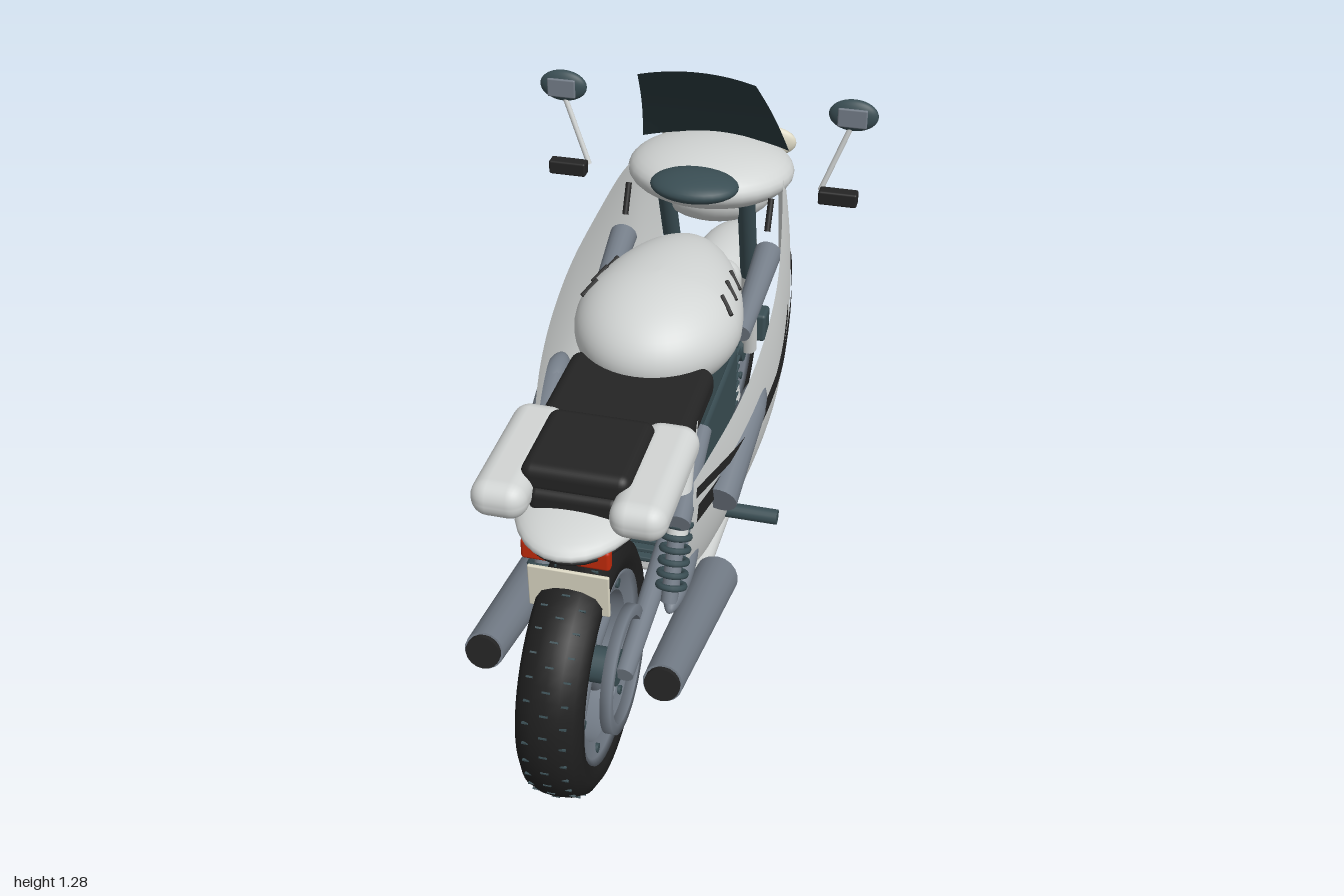
import * as THREE from 'three';
import { RoundedBoxGeometry } from 'three/addons/geometries/RoundedBoxGeometry.js';

const mat = (name, color, both) => {
  const m = new THREE.MeshStandardMaterial({ color });
  m.name = name;
  if (both) m.side = THREE.DoubleSide;
  return m;
};
const V = (p) => new THREE.Vector3(...p);

// smooth curve through [z, value] pairs, sorted by z
function curve(pts) {
  const slope = (i) => {
    const a = pts[Math.max(0, i - 1)], b = pts[Math.min(pts.length - 1, i + 1)];
    return (b[1] - a[1]) / (b[0] - a[0]);
  };
  return (z) => {
    let i = 0;
    while (i < pts.length - 2 && z > pts[i + 1][0]) i++;
    const h = pts[i + 1][0] - pts[i][0], t = (z - pts[i][0]) / h, u = 1 - t;
    return pts[i][1] * (1 + 2 * t) * u * u + slope(i) * h * t * u * u
      + pts[i + 1][1] * t * t * (3 - 2 * t) - slope(i + 1) * h * t * t * u;
  };
}

// surface from a function of u, v in 0..1
function sheet(fn, nu, nv) {
  const g = new THREE.PlaneGeometry(1, 1, nu, nv), p = g.attributes.position;
  for (let i = 0; i < p.count; i++) p.setXYZ(i, ...fn(p.getX(i) + 0.5, p.getY(i) + 0.5));
  g.computeVertexNormals();
  return g;
}

export function createModel() {
  const root = new THREE.Group();
  root.name = 'motorcycle';
  const white = mat('white paint', 0xd2d5d4, true), black = mat('black', 0x242424, true);
  const rubber = mat('tyre rubber', 0x1f1f1f), teal = mat('dark teal metal', 0x3a4e54);
  const steel = mat('grey steel', 0x747d88), glass = mat('tinted screen', 0x2b3c40, true);
  const cream = mat('cream lens', 0xdcd8c4), red = mat('red lens', 0xc02a0c);

  const add = (name, geo, m, pos = [0, 0, 0], rot = [0, 0, 0], parent = root) => {
    const o = new THREE.Mesh(geo, m);
    o.name = name;
    o.position.set(...pos);
    o.rotation.set(...rot);
    parent.add(o);
    return o;
  };
  const ball = (name, m, pos, radii, rot) =>
    add(name, new THREE.SphereGeometry(1, 32, 20).scale(...radii), m, pos, rot);
  const box = (name, m, pos, size, r = 0.01, rot) =>
    add(name, new RoundedBoxGeometry(...size, 4, r), m, pos, rot);
  const rod = (name, m, a, b, r1, r2 = r1, parent = root) => {
    const d = V(b).sub(V(a));
    const o = add(name, new THREE.CylinderGeometry(r2, r1, d.length(), 18), m, [0, 0, 0], [0, 0, 0], parent);
    o.position.copy(V(a)).addScaledVector(d, 0.5);
    o.quaternion.setFromUnitVectors(new THREE.Vector3(0, 1, 0), d.normalize());
    return o;
  };
  const lathe = (pts) => new THREE.LatheGeometry(pts.map((p) => new THREE.Vector2(...p)), 56).rotateZ(Math.PI / 2);

  // wheels
  const tyre = [[0.205, -0.055], [0.235, -0.072], [0.262, -0.074], [0.285, -0.06], [0.298, -0.03], [0.301, 0],
    [0.298, 0.03], [0.285, 0.06], [0.262, 0.074], [0.235, 0.072], [0.205, 0.055], [0.205, -0.055]];
  const rim = [[0.172, -0.05], [0.208, -0.06], [0.222, -0.069], [0.222, 0.069], [0.208, 0.06], [0.172, 0.05],
    [0.168, 0], [0.172, -0.05]];
  const disc = [[0.122, -0.012], [0.147, -0.012], [0.147, 0.012], [0.122, 0.012], [0.122, -0.012]];
  function wheel(name, z) {
    const g = new THREE.Group();
    g.name = name;
    g.position.set(0, 0.302, z);
    root.add(g);
    add('tyre', lathe(tyre), rubber, [0, 0, 0], [0, 0, 0], g);
    add('rim', lathe(rim), steel, [0, 0, 0], [0, 0, 0], g);
    rod('hub', teal, [-0.085, 0, 0], [0.085, 0, 0], 0.042, 0.042, g);
    for (let i = 0; i < 6; i++) {
      const a = (i + 0.5) * Math.PI / 3, c = Math.cos(a), s = Math.sin(a);
      rod('spoke', steel, [0, c * 0.03, s * 0.03], [0, c * 0.185, s * 0.185], 0.026, 0.019, g);
      rod('rimBolt', teal, [-0.06, c * 0.19, s * 0.19], [0.06, c * 0.19, s * 0.19], 0.011, 0.011, g);
    }
    // tread marks
    for (let i = 0; i < 36; i++) for (const x of [-0.04, 0, 0.04]) {
      const a = (i + (x ? 0.5 : 0)) * Math.PI / 18, r = x ? 0.2935 : 0.3;
      add('treadMark', new THREE.BoxGeometry(0.018, 0.005, 0.004), teal,
        [x, Math.cos(a) * r, Math.sin(a) * r], [a, 0, 0], g);
    }
  }
  wheel('rearWheel', 0.7);
  wheel('frontWheel', -0.682);
  add('rearBrakeDisc', lathe(disc), steel, [0.092, 0.302, 0.7]);
  box('brakeCaliper', teal, [0.1, 0.325, -0.79], [0.06, 0.09, 0.07]);

  // side fairing: panels between two height curves, bulging outwards
  const top = curve([[-0.71, 0.9], [-0.6, 0.945], [-0.45, 0.95], [-0.3, 0.9], [0, 0.795], [0.44, 0.65]]);
  const low = curve([[-0.71, 0.66], [-0.66, 0.545], [-0.55, 0.445], [-0.4, 0.38], [-0.2, 0.305], [0, 0.27],
    [0.2, 0.285], [0.33, 0.325], [0.41, 0.38], [0.44, 0.44]]);
  const width = curve([[-0.71, 0.165], [-0.55, 0.228], [-0.2, 0.276], [0, 0.276], [0.2, 0.25], [0.44, 0.19]]);
  const panelX = (y, z) => {
    const t = (y - 0.62) / 0.35;
    return width(z) * (1 - (t > 0 ? 0.15 : 0.3) * t * t);
  };
  const panel = (name, m, s, z0, z1, lo, hi, off) => add(name, sheet((u, v) => {
    const z = z0 + (z1 - z0) * u, y = lo(z) + (hi(z) - lo(z)) * v;
    return [s * (panelX(y, z) + off), y, z];
  }, 40, 18), m);
  const stripe = (z) => 0.548 - (z - 0.42) * 0.125;
  const mark = (z) => 0.61 - (z + 0.05) * 0.4;

  // tank half width and height of its surface
  const tankWidth = (z) => 0.205 * (1 + Math.min(z, 0) * 0.5);
  const tankTop = (x, z) => 0.79 + 0.14 * Math.sqrt(1 - (x / tankWidth(z)) ** 2 - (z / 0.37) ** 2);

  for (const s of [-1, 1]) {
    panel('sideFairing', white, s, -0.71, 0.44, low, top, 0);
    panel('fairingStripe', black, s, -0.71, 0.42, (z) => stripe(z) - 0.026, (z) => stripe(z) + 0.026, 0.004);
    panel('upperStripe', black, s, 0.19, 0.44, (z) => 0.582 + z * 0.06, (z) => 0.61 + z * 0.06, 0.008);
    panel('accentStripe', black, s, -0.28, -0.05, (z) => mark(z) - 0.017, (z) => mark(z) + 0.017, 0.004);

    // frame, air ducts and shock absorbers
    rod('frameRail', steel, [s * 0.195, 0.8, -0.38], [s * 0.185, 0.73, -0.08], 0.036, 0.026);
    rod('airDuct', steel, [s * 0.23, 0.535, 0.34], [s * 0.25, 0.625, 0.08], 0.042, 0.036);
    ball('ductTip', steel, [s * 0.25, 0.627, 0.075], [0.034, 0.036, 0.08], [0.33, 0, 0]);
    rod('rearDuct', steel, [s * 0.165, 0.56, 0.48], [s * 0.16, 0.64, 0.22], 0.028, 0.022);
    rod('seatStay', white, [s * 0.15, 0.75, 0.34], [s * 0.155, 0.5, 0.45], 0.026);
    rod('shock', steel, [s * 0.155, 0.62, 0.4], [s * 0.155, 0.36, 0.52], 0.02);
    for (let i = 0; i < 6; i++) add('shockCoil', new THREE.TorusGeometry(0.03, 0.008, 8, 20), teal,
      [s * 0.155, 0.53 - i * 0.027, 0.442 + i * 0.012], [Math.PI / 2 - 0.43, 0, 0]);
    rod('swingArm', steel, [s * 0.11, 0.4, 0.28], [s * 0.1, 0.302, 0.72], 0.03, 0.022);
    ball('swingArmCover', steel, [s * 0.16, 0.375, 0.42], [0.03, 0.032, 0.13], [0.2, 0, 0]);

    // exhaust
    rod('muffler', steel, [s * 0.21, 0.235, 0.265], [s * 0.205, 0.36, 0.78], 0.056, 0.045);
    rod('exhaustTip', black, [s * 0.205, 0.358, 0.77], [s * 0.205, 0.362, 0.79], 0.04);
    rod('exhaustPipe', white, [s * 0.165, 0.245, 0.29], [s * 0.165, 0.226, -0.27], 0.027);
    rod('downPipe', white, [s * 0.14, 0.25, -0.31], [s * 0.12, 0.42, -0.3], 0.025);
    rod('footPeg', teal, [s * 0.2, 0.368, 0.162], [s * 0.34, 0.368, 0.162], 0.019);

    // fork
    rod('forkLeg', white, [s * 0.095, 0.3, -0.685], [s * 0.105, 0.6, -0.6], 0.024);
    rod('forkTube', teal, [s * 0.105, 0.6, -0.6], [s * 0.11, 0.94, -0.48], 0.024);

    // mirrors, grips and levers
    rod('mirrorStem', white, [s * 0.31, 0.955, -0.46], [s * 0.375, 1.13, -0.475], 0.007);
    ball('mirrorShell', teal, [s * 0.38, 1.163, -0.48], [0.063, 0.042, 0.022]);
    box('mirrorGlass', steel, [s * 0.38, 1.163, -0.459], [0.075, 0.05, 0.009], 0.004);
    box('handGrip', black, [s * 0.36, 0.952, -0.437], [0.1, 0.038, 0.036], 0.006);
    rod('lever', black, [s * 0.19, 0.86, -0.38], [s * 0.19, 0.935, -0.42], 0.008);

    ball('headlight', cream, [s * 0.118, 0.93, -0.768], [0.074, 0.044, 0.02], [0, s * 0.08, 0]);

    // tank vents, rising towards the front
    for (const z of [-0.13, -0.055, 0.02]) {
      const x = tankWidth(z) * 0.83;
      box('tankVent', black, [s * x, tankTop(x, z), z], [0.01, 0.012, 0.056], 0.003, [0.8, s * 0.6, 0]);
    }

    // panniers
    box('pannier', white, [s * 0.15, 0.788, 0.625], [0.125, 0.086, 0.35], 0.04);
  }

  // engine, radiator and belly pan
  box('engineBlock', teal, [0, 0.43, 0.02], [0.3, 0.34, 0.56], 0.03);
  box('airBox', teal, [0, 0.66, 0.05], [0.3, 0.14, 0.5], 0.03);
  for (let i = 0; i < 11; i++) {
    box('coolingFin', teal, [0, 0.3 + i * 0.027, -0.285], [0.29, 0.01, 0.04], 0.003);
    box('rearFin', teal, [0, 0.3 + i * 0.027, 0.3], [0.32, 0.012, 0.04], 0.003);
  }
  box('bellyPan', white, [0, 0.25, -0.02], [0.31, 0.09, 0.56], 0.02);
  rod('collector', white, [-0.17, 0.262, -0.31], [0.17, 0.262, -0.31], 0.047);

  // tank, narrowing towards the front
  const tank = new THREE.SphereGeometry(1, 48, 32), tp = tank.attributes.position;
  for (let i = 0; i < tp.count; i++) {
    const z = tp.getZ(i) * (tp.getZ(i) < 0 ? 0.37 : 0.245);
    tp.setXYZ(i, tp.getX(i) * tankWidth(z), tp.getY(i) * 0.14, z);
  }
  tank.computeVertexNormals();
  add('fuelTank', tank, white, [0, 0.79, 0]);
  box('tankBase', white, [0, 0.75, -0.16], [0.29, 0.13, 0.34], 0.05);

  // seat and tail
  box('seat', black, [0, 0.74, 0.33], [0.35, 0.08, 0.36], 0.03);
  box('rearPad', black, [0, 0.815, 0.61], [0.24, 0.07, 0.235], 0.025);
  box('padBase', black, [0, 0.77, 0.6], [0.2, 0.06, 0.28], 0.02);
  ball('tail', white, [0, 0.724, 0.62], [0.15, 0.048, 0.235]);
  ball('tailUnderside', black, [0, 0.698, 0.65], [0.13, 0.033, 0.185]);
  box('tailLight', red, [0, 0.692, 0.79], [0.195, 0.05, 0.025], 0.008);
  box('numberPlate', cream, [0, 0.582, 0.782], [0.18, 0.11, 0.009], 0.003, [0.03, 0, 0]);
  box('plateBracket', black, [0, 0.655, 0.765], [0.06, 0.06, 0.015], 0.004);

  // nose, dash and front mudguard
  ball('nose', white, [0, 0.935, -0.56], [0.222, 0.08, 0.215], [-0.08, 0, 0]);
  ball('lowerNose', white, [0, 0.865, -0.6], [0.165, 0.09, 0.13]);
  ball('instrumentPod', teal, [0, 0.98, -0.36], [0.115, 0.034, 0.085]);
  ball('frontMudguard', white, [0, 0.553, -0.755], [0.086, 0.061, 0.24], [-0.08, 0, 0]);

  // curved windscreen
  add('windscreen', sheet((u, v) => {
    const t = u * 2 - 1, c = 1 - t * t;
    return [t * (0.2 - 0.05 * v), 0.985 + 0.28 * v + 0.014 * c,
      -0.605 + 0.24 * v - 0.035 * c * (1 - 0.6 * v) - 0.015 * Math.sin(Math.PI * v)];
  }, 24, 12), glass);

  return root;
}
